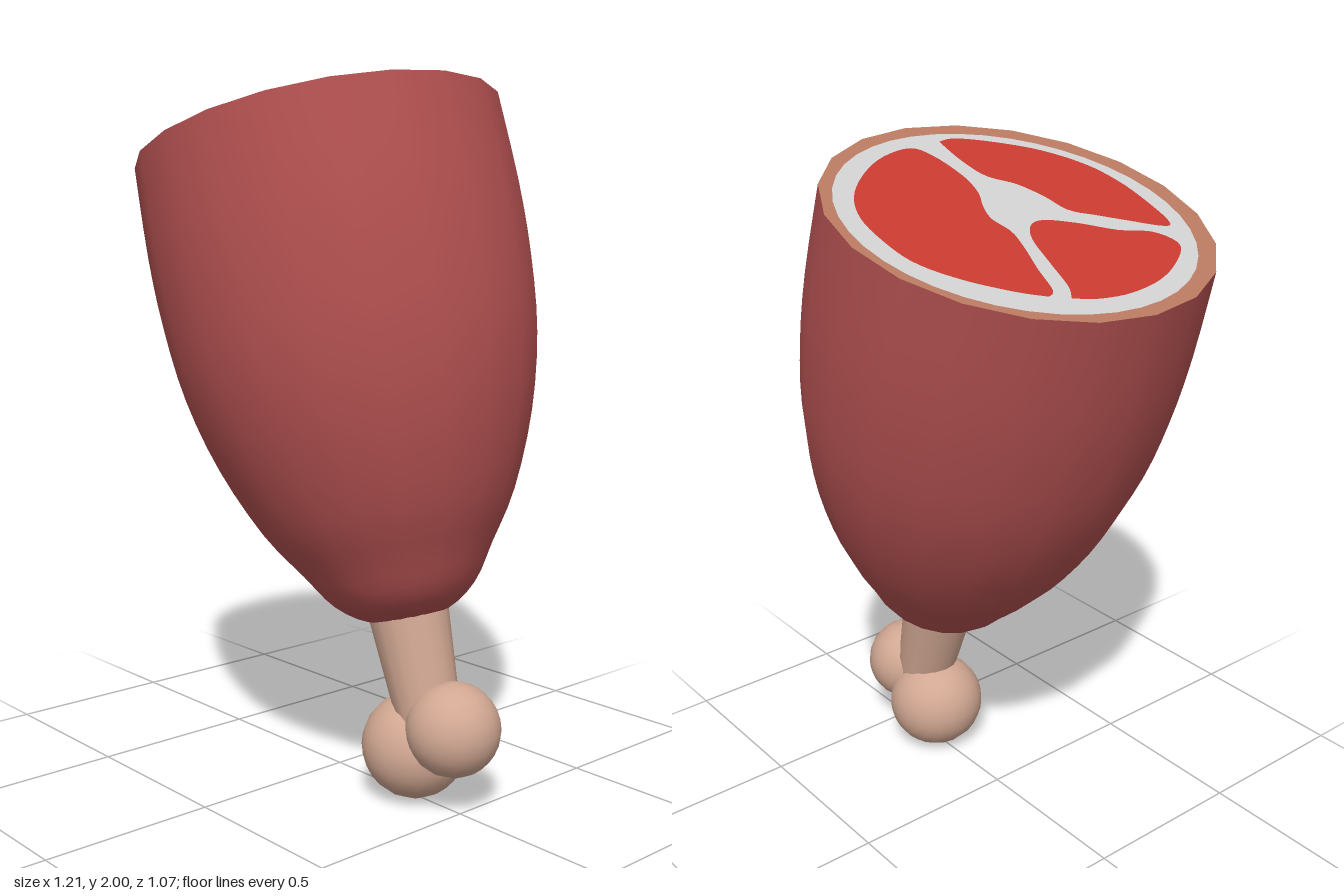
import * as THREE from 'three';

const flat = (name, color) => {
  const m = new THREE.MeshStandardMaterial({ color });
  m.name = name;
  return m;
};

export function createModel() {
  const skin = flat('skin red', 0xb25050);
  const rind = flat('rind tan', 0xb87860);
  const fat = flat('fat white', 0xd0d0d0);
  const flesh = flat('flesh red', 0xc83a30);
  const bone = flat('bone', 0xd2a893);

  const model = new THREE.Group();
  model.name = 'hamLeg';
  const add = (parent, name, geometry, material, x = 0, y = 0) => {
    const mesh = new THREE.Mesh(geometry, material);
    mesh.name = name;
    mesh.position.set(x, y, 0);
    parent.add(mesh);
    return mesh;
  };

  // Leaning leg: origin at the middle of the cut face, running down -y
  const leg = new THREE.Group();
  leg.name = 'leg';
  leg.position.set(-0.0975, 1.85, 0);
  leg.rotation.z = 0.287;
  model.add(leg);

  // Rounded meat body, turned from a profile of [radius, height]
  const profile = [
    [0, -1.4], [0.11, -1.385], [0.2, -1.325], [0.27, -1.225], [0.36, -1.09], [0.448, -0.89],
    [0.505, -0.68], [0.53, -0.47], [0.537, -0.26], [0.529, 0],
  ].map(([r, y]) => new THREE.Vector2(r, y));
  const curve = new THREE.SplineCurve(profile).getPoints(27);
  curve[0].x = 0;
  add(leg, 'meatBody', new THREE.LatheGeometry(curve, 20), skin);

  // Cut face: rind, fat and three muscles as stacked thin faces
  const lay = (geometry) => geometry.rotateX(-Math.PI / 2);
  add(leg, 'rindFace', lay(new THREE.CircleGeometry(0.529, 20)), rind);
  const fatFace = add(leg, 'fatFace', lay(new THREE.CircleGeometry(0.482, 40)), fat, -0.008, 0.002);
  fatFace.position.z = -0.018;

  // Muscle outlines, as seen from above in x and z
  const muscles = {
    backMuscle: [
      [-0.45, -0.21], [-0.4, -0.28], [-0.31, -0.37], [-0.21, -0.43], [-0.1, -0.442], [0.01, -0.43],
      [0.11, -0.38], [0.2, -0.29], [0.27, -0.18], [0.295, -0.07], [0.24, -0.032], [0.12, -0.023],
      [0.03, -0.042], [-0.04, -0.08], [-0.1, -0.1], [-0.17, -0.092], [-0.25, -0.115], [-0.34, -0.15],
      [-0.43, -0.18],
    ],
    rightMuscle: [
      [-0.475, -0.16], [-0.43, -0.13], [-0.33, -0.1], [-0.22, -0.065], [-0.16, -0.02], [-0.148, 0.035],
      [-0.19, 0.115], [-0.255, 0.2], [-0.295, 0.29], [-0.37, 0.315], [-0.44, 0.23], [-0.49, 0.12],
      [-0.51, 0], [-0.5, -0.1],
    ],
    frontMuscle: [
      [0.305, 0.04], [0.2, 0.03], [0.1, 0.04], [0.035, 0.095], [-0.045, 0.125], [-0.126, 0.14],
      [-0.175, 0.2], [-0.22, 0.26], [-0.28, 0.345], [-0.265, 0.38], [-0.16, 0.4], [-0.045, 0.405],
      [0.07, 0.38], [0.18, 0.305], [0.26, 0.2], [0.31, 0.1],
    ],
  };
  for (const [name, outline] of Object.entries(muscles)) {
    const points = outline.map(([x, z]) => new THREE.Vector2((x + 0.0975) / 0.959, -z));
    const shape = new THREE.Shape();
    shape.moveTo(points[0].x, points[0].y);
    shape.splineThru([...points.slice(1), points[0].clone()]);
    add(leg, name, lay(new THREE.ShapeGeometry(shape, 4)), flesh, 0, 0.004);
  }

  // Bone shaft, wider where it enters the meat
  add(leg, 'boneShaft', new THREE.CylinderGeometry(0.117, 0.09, 0.35, 16), bone, 0, -1.505);

  // Two knuckles at the foot
  const knuckle = (name, r, x, y) =>
    add(model, name, new THREE.SphereGeometry(r, 20, 12).rotateX(Math.PI / 2), bone, x, y);
  knuckle('largeKnuckle', 0.15, 0.32, 0.152);
  knuckle('smallKnuckle', 0.132, 0.47, 0.237);

  return model;
}
